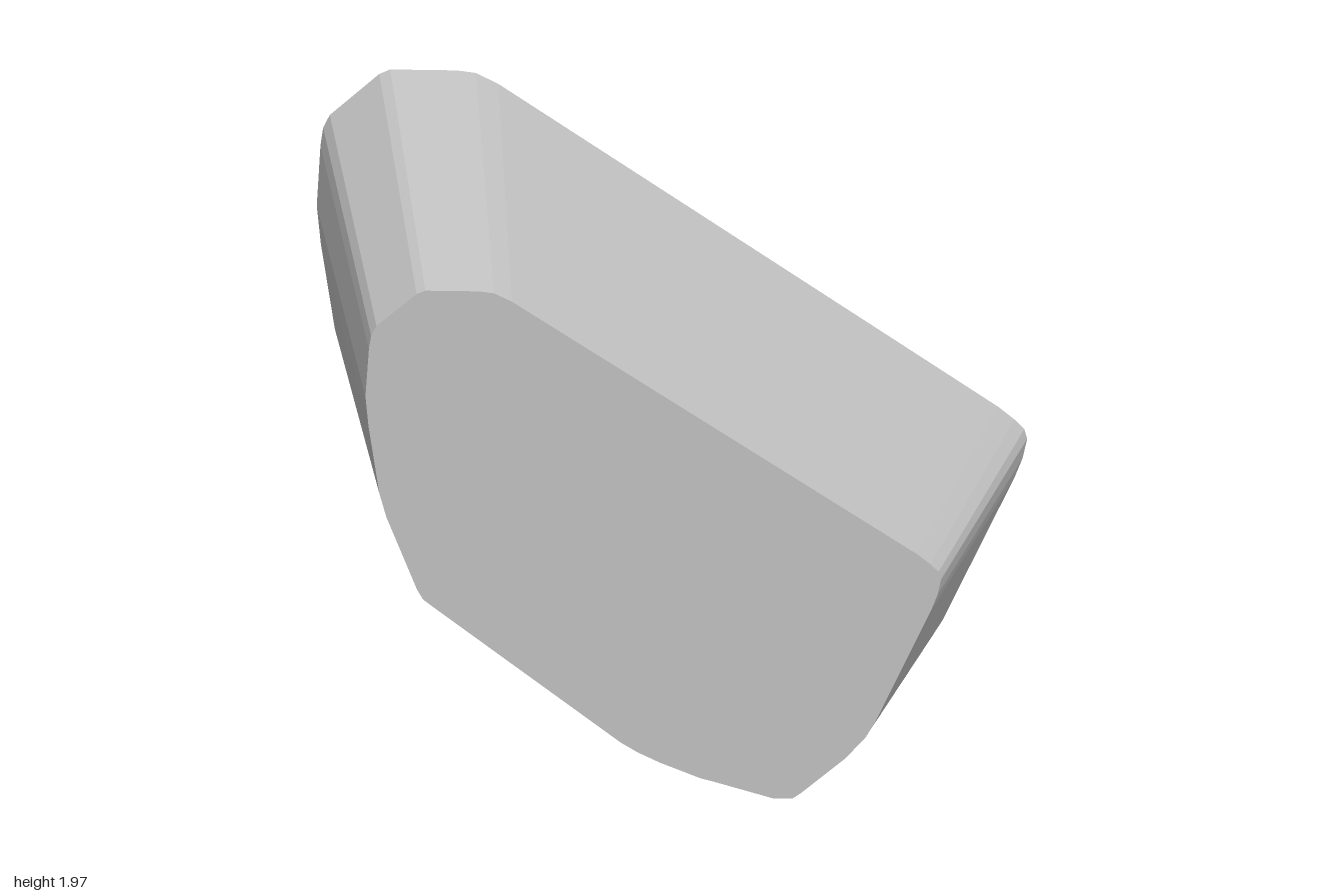
import * as THREE from 'three';

// Outline of the large rear face, counter-clockwise from the bottom
const OUTLINE = [
  [0.42, 0.003], [0.49, 0.003], [0.52, 0.025], [0.68, 0.17], [0.75, 0.255], [0.78, 0.31],
  [0.97, 0.77], [0.99, 0.83], [1, 0.89], [0.99, 0.92], [0.96, 0.95], [0.91, 0.99],
  [-0.49, 1.93], [-0.55, 1.96], [-0.6, 1.967], [-0.78, 1.97], [-0.81, 1.958],
  [-0.95, 1.845], [-0.97, 1.81], [-0.98, 1.76], [-1, 1.59], [-0.995, 1.48],
  [-0.97, 1.23], [-0.95, 1.14], [-0.855, 0.86], [-0.835, 0.82], [-0.8, 0.79],
  [-0.14, 0.24], [-0.08, 0.2], [0, 0.157], [0.15, 0.09], [0.2, 0.075],
];
const HALF_DEPTH = 0.515;

export function createModel() {
  const group = new THREE.Group();
  group.name = 'taperedBlock';
  const grey = new THREE.MeshStandardMaterial({ color: 0xc0c0c0 });
  grey.name = 'lightGrey';

  const shape = new THREE.Shape(OUTLINE.map(([x, y]) => new THREE.Vector2(x, y)));
  const geometry = new THREE.ExtrudeGeometry(shape, { depth: 2 * HALF_DEPTH, bevelEnabled: false });
  geometry.translate(0, 0, -HALF_DEPTH);

  // Shrink the front face and shift it slightly to taper the block
  const p = geometry.attributes.position;
  for (let i = 0; i < p.count; i++) {
    if (p.getZ(i) > 0) p.setXY(i, p.getX(i) * 0.7 - 0.061, p.getY(i) * 0.7 + 0.306);
  }
  geometry.computeVertexNormals();

  const block = new THREE.Mesh(geometry, grey);
  block.name = 'block';
  group.add(block);
  return group;
}
